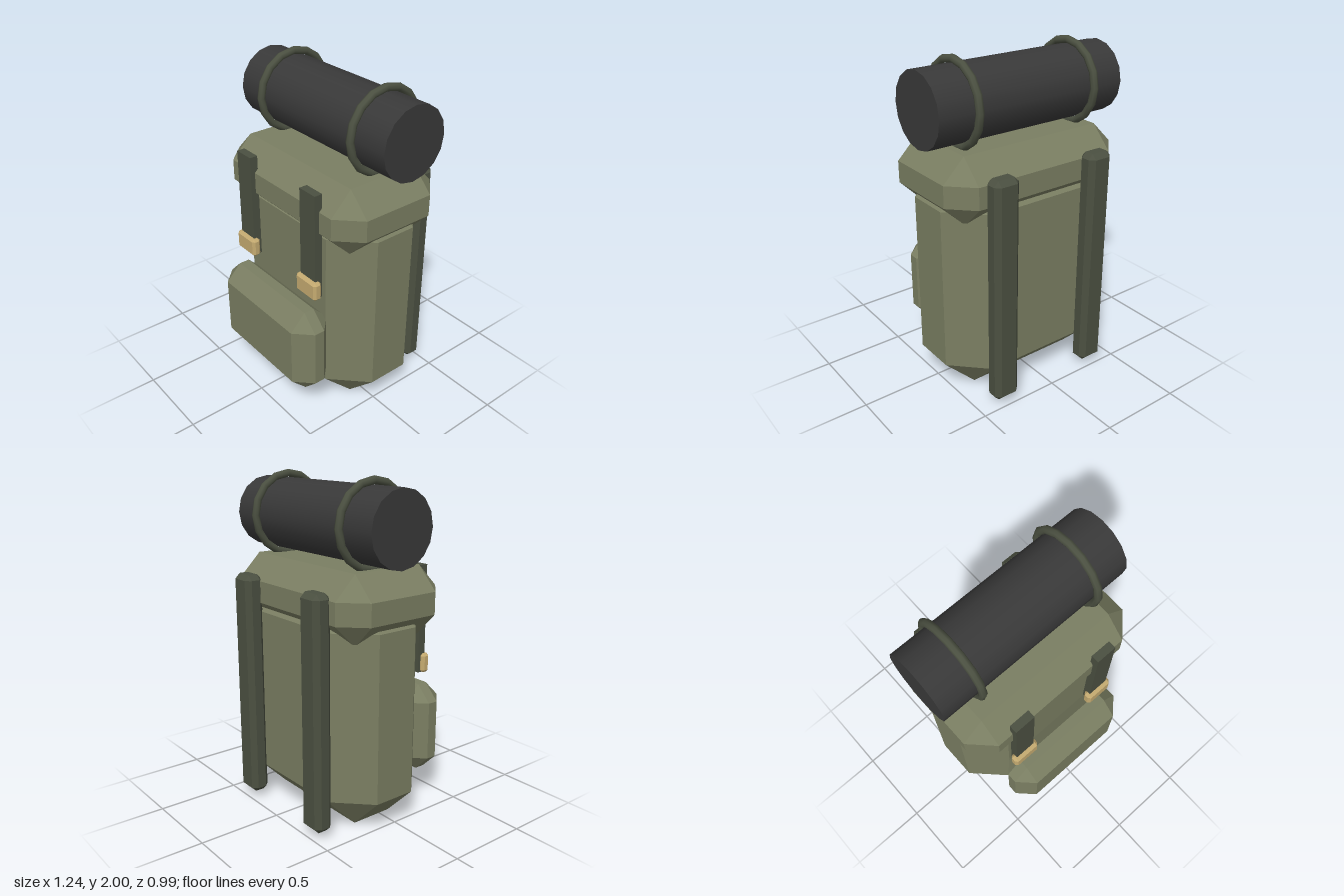
import * as THREE from 'three';
import { ConvexGeometry } from 'three/addons/geometries/ConvexGeometry.js';

const material = (name, color) => {
  const m = new THREE.MeshStandardMaterial({ color });
  m.name = name;
  return m;
};

// Box with every edge cut at 45 degrees, given by its [min, max] ranges
function chamferedBox(rx, ry, rz, c) {
  const ranges = [rx, ry, rz];
  const points = [];
  for (let axis = 0; axis < 3; axis++) {
    for (let i = 0; i < 8; i++) {
      const p = ranges.map(([lo, hi], k) => {
        const inset = k === axis ? 0 : c;
        return (i >> k) & 1 ? hi - inset : lo + inset;
      });
      points.push(new THREE.Vector3(...p));
    }
  }
  return new ConvexGeometry(points);
}

export function createModel() {
  const canvas = material('olive canvas', 0x7a7e62);
  const webbing = material('dark webbing', 0x4b5041);
  const brass = material('brass', 0xc4aa70);
  const rollCloth = material('charcoal roll', 0x393939);

  const backpack = new THREE.Group();
  backpack.name = 'backpack';
  const add = (name, geometry, mat) => {
    const mesh = new THREE.Mesh(geometry, mat);
    mesh.name = name;
    backpack.add(mesh);
    return mesh;
  };

  // Main bag, lid and front pocket
  add('body', chamferedBox([-0.56, 0.56], [0, 1.39], [-0.39, 0.27], 0.2), canvas);
  add('lid', chamferedBox([-0.59, 0.59], [1.115, 1.51], [-0.408, 0.316], 0.133), canvas);
  add('frontPocket', chamferedBox([-0.425, 0.425], [0.185, 0.74], [0.235, 0.495], 0.098), canvas);

  // Bedroll lying across the lid
  const rollY = 1.74, rollZ = -0.097;
  const roll = add('bedroll', new THREE.CylinderGeometry(0.213, 0.213, 1.24, 16), rollCloth);
  roll.rotation.z = Math.PI / 2;
  roll.position.set(0, rollY, rollZ);

  for (const [side, s] of [['left', 1], ['right', -1]]) {
    // Closing strap and its buckle
    const strap = add(side + 'FrontStrap', new THREE.BoxGeometry(0.13, 0.65, 0.05), webbing);
    strap.position.set(s * 0.295, 1.155, 0.32);
    const buckle = add(side + 'Buckle',
      chamferedBox([-0.088, 0.088], [0.828, 0.945], [0.312, 0.368], 0.015), brass);
    buckle.position.x = s * 0.295;

    // Shoulder strap
    const shoulder = add(side + 'ShoulderStrap',
      chamferedBox([-0.081, 0.081], [0.04, 1.415], [-0.497, -0.382], 0.03), webbing);
    shoulder.position.x = s * 0.327;

    // Band around the bedroll
    const band = add(side + 'RollBand', new THREE.TorusGeometry(0.237, 0.023, 8, 16), webbing);
    band.rotation.y = Math.PI / 2;
    band.position.set(s * 0.392, rollY, rollZ);
  }
  return backpack;
}
